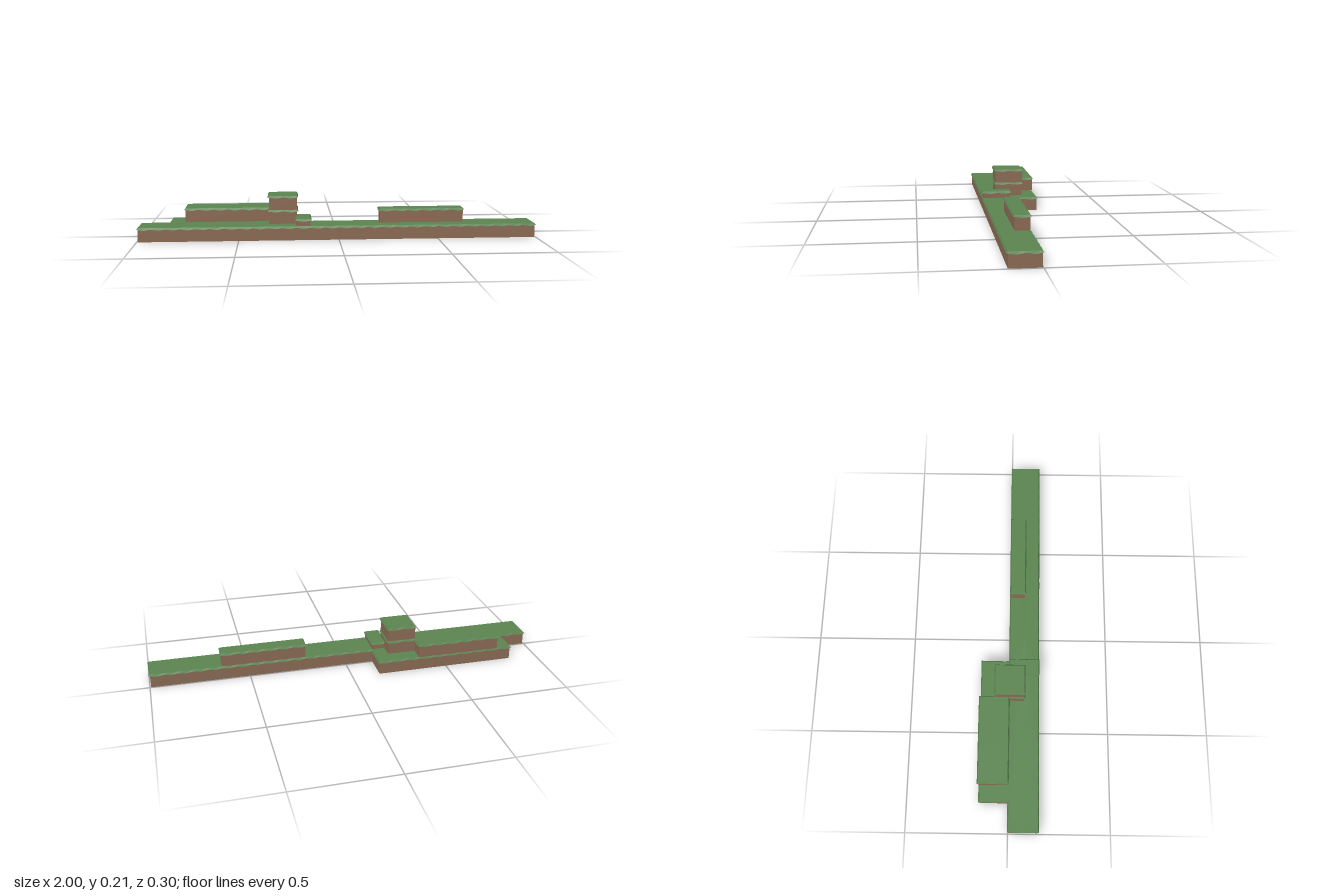
import * as THREE from 'three';

const U = 0.142; // one tile
const H = U / 2; // half tile
const earthMaterial = new THREE.MeshStandardMaterial({ color: 0x8b6b55 });
const grassMaterial = new THREE.MeshStandardMaterial({ color: 0x5b8450, flatShading: true });

// Grass cap: flat top, flared skirt with a wavy hem, and an underside back to the earth.
function grassGeometry(w, d) {
  const ring = (outset, drop) => {
    const points = [];
    for (let side = 0; side < 4; side++) {
      const along = side % 2 ? d : w;
      const across = side % 2 ? w : d;
      const waves = Math.max(1, Math.round(along / H));
      const steps = waves * 8;
      const angle = side * Math.PI / 2;
      for (let i = 0; i < steps; i++) {
        const t = i / steps;
        const wave = Math.cos(t * waves * Math.PI * 2);
        const a = (2 * t - 1) * (along / 2 + outset);
        const n = across / 2 + outset;
        const y = -drop * (1 - 0.25 * wave);
        points.push([
          a * Math.cos(angle) + n * Math.sin(angle), y,
          n * Math.cos(angle) - a * Math.sin(angle),
        ]);
      }
    }
    return points;
  };
  const edge = ring(0, 0);
  const rings = [edge.map(() => [0, 0, 0]), edge, ring(0.006, 0.01), ring(-0.001, 0.01)];
  const positions = [];
  for (let r = 0; r < 3; r++) {
    const upper = rings[r];
    const lower = rings[r + 1];
    for (let i = 0; i < edge.length; i++) {
      const j = (i + 1) % edge.length;
      positions.push(...lower[i], ...lower[j], ...upper[j]);
      if (r > 0) positions.push(...lower[i], ...upper[j], ...upper[i]);
    }
  }
  const geometry = new THREE.BufferGeometry();
  geometry.setAttribute('position', new THREE.Float32BufferAttribute(positions, 3));
  geometry.computeVertexNormals();
  return geometry;
}

// Earth block with a grass cap, placed by its low corner and size.
function turfBlock(name, x, y, z, w, h, d) {
  const block = new THREE.Group();
  block.name = name;
  block.position.set(x + w / 2, y, z + d / 2);

  const earthHeight = h - 0.003;
  const earth = new THREE.Mesh(new THREE.BoxGeometry(w, earthHeight, d), earthMaterial);
  earth.name = 'earth';
  earth.position.y = earthHeight / 2;

  const grass = new THREE.Mesh(grassGeometry(w, d), grassMaterial);
  grass.name = 'grass';
  grass.position.y = h;

  block.add(earth, grass);
  return block;
}

export function createModel() {
  const model = new THREE.Group();
  model.name = 'terrainPlatform';
  const left = -7 * U;
  const front = 0.003;

  model.add(
    // Ground level
    turfBlock('groundStrip', left, 0, front, 14 * U, H, U),
    turfBlock('rearGround', left + U, 0, front - U, 5 * U, H, U),
    // Raised ledges
    turfBlock('rearLedge', -0.775, H, -0.145, 3 * U, H, U),
    turfBlock('frontLedge', 1.5 * U, H, front, 3 * U, H, H),
    turfBlock('lowStep', -1.5 * U, H, front, H, H / 2, U),
  );

  // Two stacked tower blocks
  for (let i = 0; i < 2; i++) {
    model.add(turfBlock('towerBlock' + (i + 1), -0.349, H * (i + 1), -0.068, U, H, U));
  }
  return model;
}
